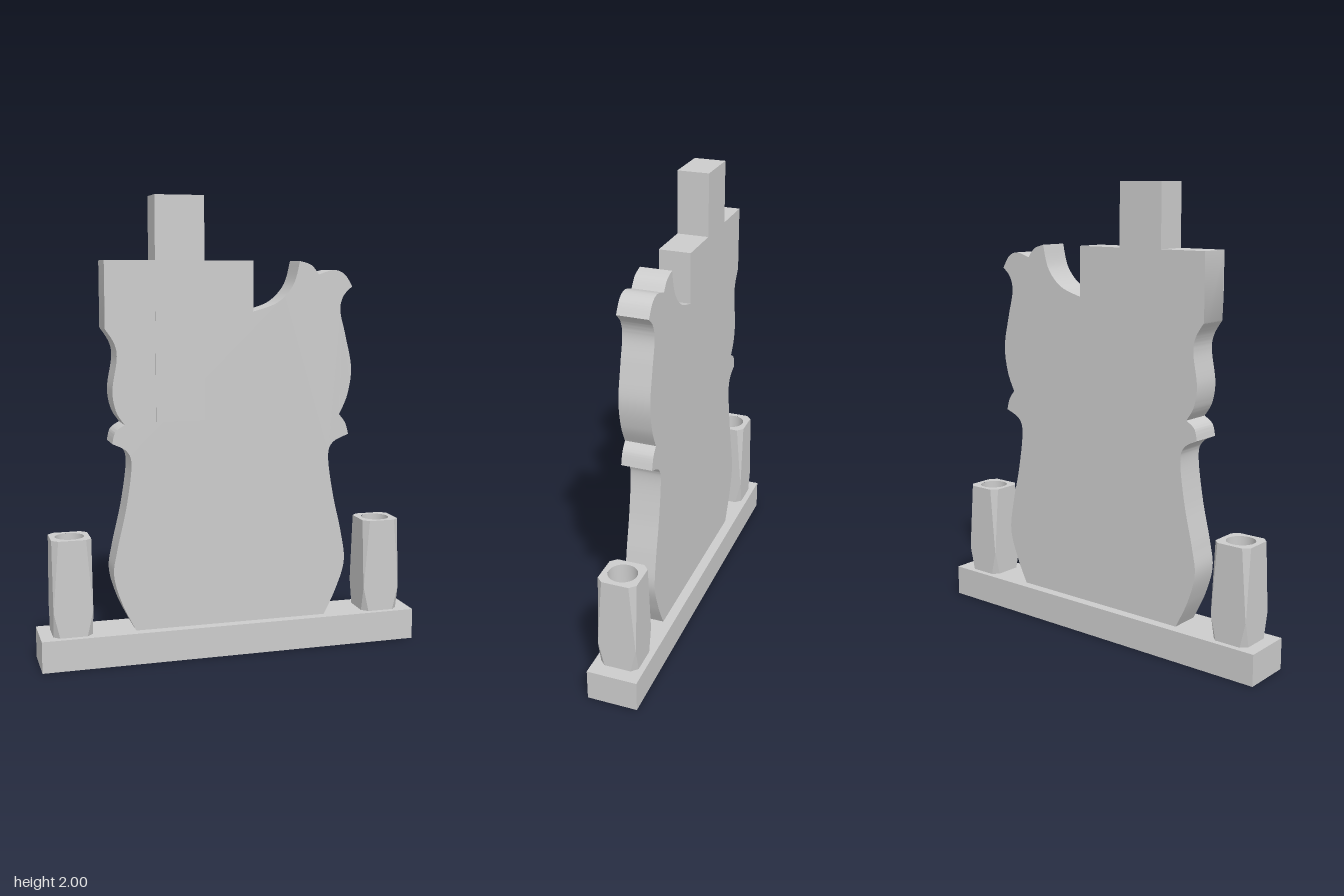
import * as THREE from 'three';
import { toCreasedNormals } from 'three/addons/utils/BufferGeometryUtils.js';

const material = new THREE.MeshStandardMaterial({ color: 0xcccccc });
const BASE_TOP = 0.138;
const STELE_HALF = 0.067;

function addMesh(parent, name, geometry) {
  const mesh = new THREE.Mesh(geometry, material);
  mesh.name = name;
  parent.add(mesh);
  return mesh;
}

// Smooth run through points, starting at the shape's current point
const curveTo = (shape, points) => shape.splineThru(points.map(([x, y]) => new THREE.Vector2(x, y)));

function steleShape() {
  const s = new THREE.Shape();
  s.moveTo(-0.436, BASE_TOP);
  s.lineTo(0.431, BASE_TOP);
  // right edge, going up, with a cusp between runs
  curveTo(s, [[0.485, 0.25], [0.525, 0.38], [0.507, 0.52], [0.468, 0.69], [0.443, 0.86], [0.463, 0.927], [0.537, 0.963]]);
  curveTo(s, [[0.521, 1.015], [0.492, 1.053]]);
  curveTo(s, [[0.53, 1.14], [0.546, 1.26], [0.518, 1.4], [0.492, 1.51], [0.505, 1.575], [0.546, 1.618]]);
  // scrolled top corner and hollow beside the cross
  curveTo(s, [[0.51, 1.67], [0.46, 1.689], [0.39, 1.67]]);
  curveTo(s, [[0.355, 1.71], [0.302, 1.728]]);
  curveTo(s, [[0.272, 1.625], [0.2, 1.55], [0.09, 1.512]]);
  // arms and head of the cross
  for (const [x, y] of [[0.09, 1.73], [-0.127, 1.73], [-0.127, 2], [-0.34, 2], [-0.34, 1.73], [-0.555, 1.73], [-0.555, 1.447]]) s.lineTo(x, y);
  // left edge, going down
  curveTo(s, [[-0.516, 1.385], [-0.506, 1.32], [-0.526, 1.19], [-0.512, 1.1], [-0.476, 1.041]]);
  curveTo(s, [[-0.516, 1.012], [-0.53, 0.962]]);
  curveTo(s, [[-0.468, 0.927], [-0.449, 0.86], [-0.474, 0.68], [-0.515, 0.5], [-0.53, 0.387], [-0.495, 0.26], [-0.436, BASE_TOP]]);
  return s;
}

function crossShape() {
  return new THREE.Shape([
    [-0.34, 1.05], [-0.127, 1.05], [-0.127, 1.517], [0.09, 1.517], [0.09, 1.73], [-0.127, 1.73],
    [-0.127, 2], [-0.34, 2], [-0.34, 1.73], [-0.555, 1.73], [-0.555, 1.517], [-0.34, 1.517],
  ].map(([x, y]) => new THREE.Vector2(x, y)));
}

// Square outline with cut corners, counter-clockwise
function cutSquare(half, cut) {
  const a = half, b = half - cut;
  return [[a, -b], [a, b], [b, a], [-b, a], [-a, b], [-a, -b], [-b, -a], [b, -a]];
}

function createVase(name, x) {
  const vase = new THREE.Group();
  vase.name = name;
  vase.position.set(x, BASE_TOP, 0);
  const half = 0.085, height = 0.422, holeRadius = 0.062, holeDepth = 0.25;

  // faceted wall: corner cuts fade to nothing a quarter of the way up
  const rings = [[0, 0.026], [0.11, 0.001], [height, 0.026]]
    .map(([y, cut]) => cutSquare(half, cut).map(([px, pz]) => [px, y, -pz]));
  const positions = [];
  for (let r = 0; r < rings.length - 1; r++) {
    for (let i = 0; i < 8; i++) {
      const j = (i + 1) % 8;
      const [a, b, c, d] = [rings[r][i], rings[r][j], rings[r + 1][j], rings[r + 1][i]];
      positions.push(...a, ...b, ...c, ...a, ...c, ...d);
    }
  }
  const wall = new THREE.BufferGeometry();
  wall.setAttribute('position', new THREE.Float32BufferAttribute(positions, 3));
  wall.computeVertexNormals();
  addMesh(vase, 'vaseWall', wall);

  // rim with a round opening
  const rim = new THREE.Shape(cutSquare(half, 0.026).map(([px, py]) => new THREE.Vector2(px, py)));
  rim.holes.push(new THREE.Path().absarc(0, 0, holeRadius, 0, Math.PI * 2, true));
  addMesh(vase, 'vaseRim', new THREE.ShapeGeometry(rim, 32).rotateX(-Math.PI / 2).translate(0, height, 0));

  // inside of the opening, facing inward
  const bore = new THREE.LatheGeometry([
    new THREE.Vector2(holeRadius, height),
    new THREE.Vector2(holeRadius, height - holeDepth),
    new THREE.Vector2(0, height - holeDepth),
  ], 32);
  addMesh(vase, 'vaseBore', toCreasedNormals(bore, 0.6));

  // underside
  addMesh(vase, 'vaseBottom', new THREE.ShapeGeometry(
    new THREE.Shape(cutSquare(half, 0.026).map(([px, py]) => new THREE.Vector2(px, py)))).rotateX(Math.PI / 2));
  return vase;
}

export function createModel() {
  const model = new THREE.Group();
  model.name = 'memorialStone';

  // plinth
  addMesh(model, 'base', new THREE.BoxGeometry(1.7, BASE_TOP, 0.222).translate(0, BASE_TOP / 2, 0));

  // upright stone
  const stele = new THREE.ExtrudeGeometry(steleShape(), { depth: STELE_HALF * 2, bevelEnabled: false, curveSegments: 8 });
  stele.translate(0, 0, -STELE_HALF);
  addMesh(model, 'headstone', toCreasedNormals(stele, 0.6));

  // cross standing slightly proud of the front face
  const cross = new THREE.ExtrudeGeometry(crossShape(), { depth: 0.004, bevelEnabled: false });
  addMesh(model, 'cross', cross.translate(0, 0, STELE_HALF));

  // flower vases on both ends of the plinth
  model.add(createVase('rightVase', -0.71), createVase('leftVase', 0.702));
  return model;
}
